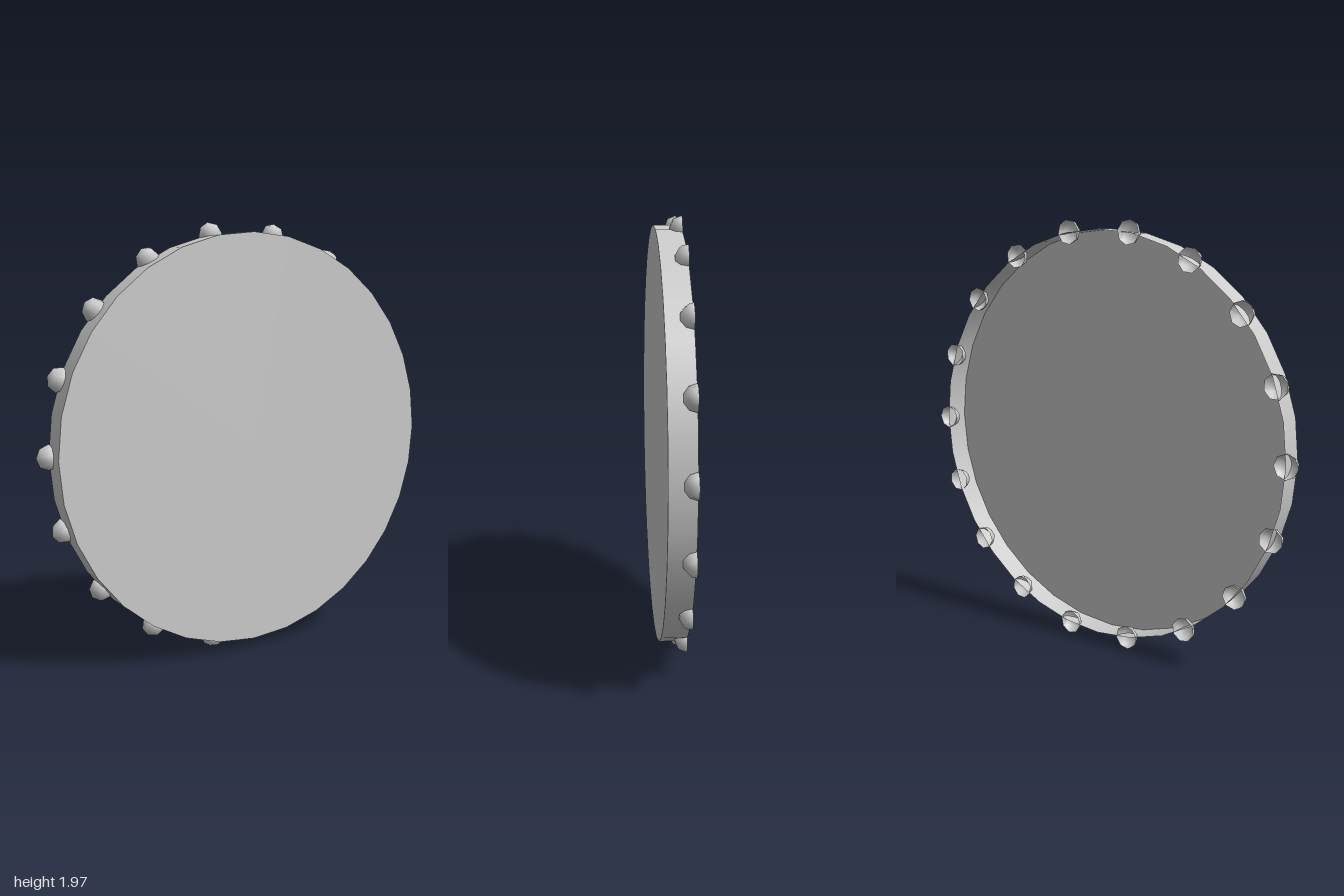
import * as THREE from 'three';

export function createModel() {
  const group = new THREE.Group();
  const radius = 0.944, halfDepth = 0.057, studRadius = 0.056, studCount = 18, sides = 32;
  const material = new THREE.MeshStandardMaterial({ color: 0xcccccc, side: THREE.DoubleSide });

  // Everything is built around the cap's centre, then lifted to stand on y = 0
  const cap = new THREE.Group();
  cap.name = 'cap';
  cap.position.y = 0.985;
  group.add(cap);

  // Thin rim wall, open at the back
  const rimGeometry = new THREE.CylinderGeometry(radius, radius, halfDepth * 2, sides, 1, true);
  rimGeometry.rotateX(Math.PI / 2);
  const rim = new THREE.Mesh(rimGeometry, material);
  rim.name = 'rim';
  cap.add(rim);

  // Flat plate closing the front only
  const plate = new THREE.Mesh(new THREE.CircleGeometry(radius, sides), material);
  plate.name = 'frontPlate';
  plate.position.z = halfDepth;
  cap.add(plate);

  // Half-sphere studs around the rim: poles point outward, cut open flush with the back
  const studGeometry = new THREE.SphereGeometry(studRadius, 5, 4, 0, Math.PI);
  for (let i = 0; i < studCount; i++) {
    const angle = (i / studCount) * Math.PI * 2;
    const stud = new THREE.Mesh(studGeometry, material);
    stud.name = `rimStud${i + 1}`;
    stud.position.set(Math.cos(angle) * radius, Math.sin(angle) * radius, -halfDepth);
    stud.rotation.z = angle - Math.PI / 2;
    cap.add(stud);
  }

  return group;
}
